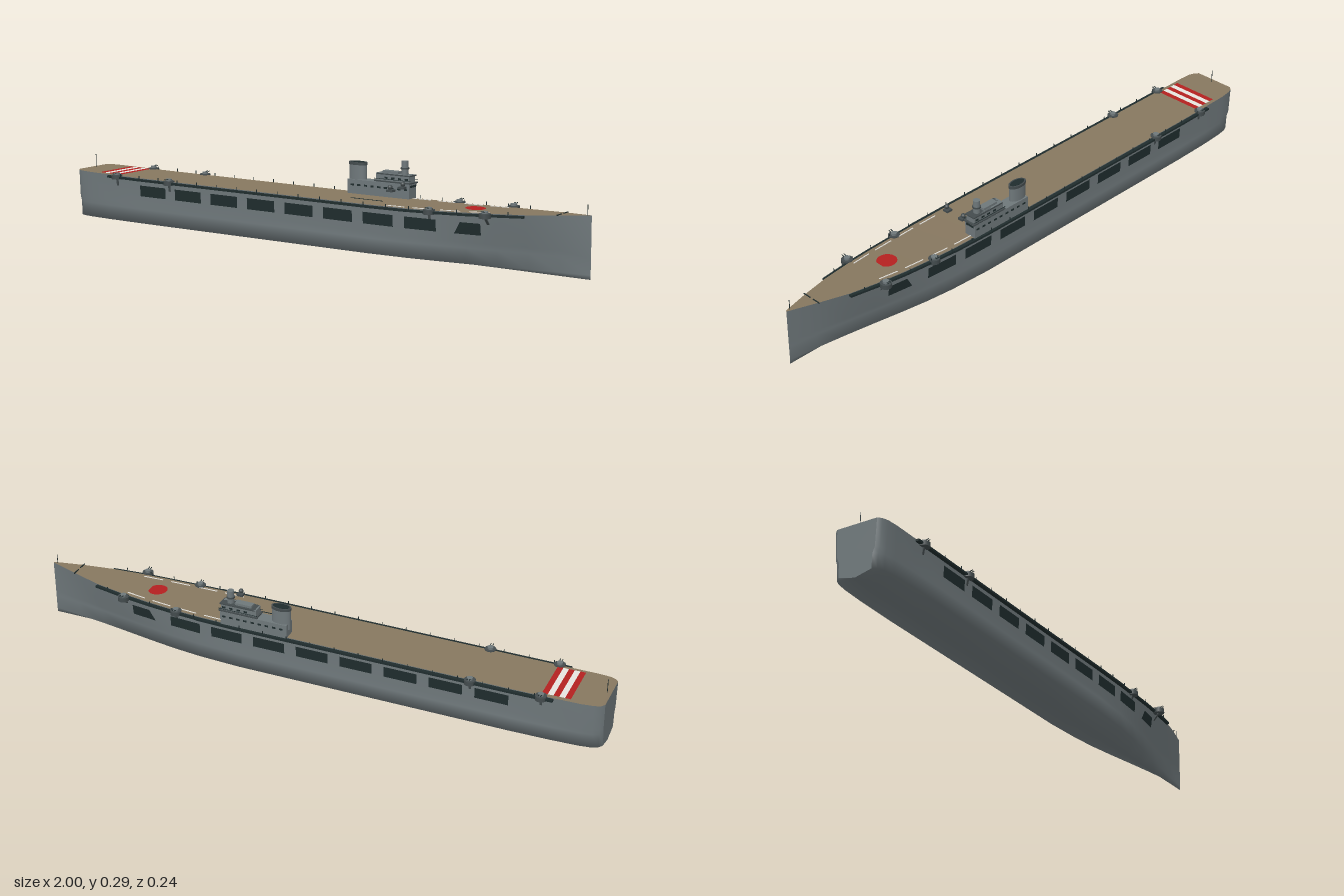
import * as THREE from 'three';

const mat = (name, color, side = THREE.FrontSide) => {
  const m = new THREE.MeshStandardMaterial({ color, side });
  m.name = name;
  return m;
};

// hull stations: x, bilge half-width, side half-width, deck half-width, deck height
const STATIONS = [
  [-1, 0.06, 0.068, 0.072, 0.179], [-0.99, 0.074, 0.08, 0.084, 0.178], [-0.97, 0.084, 0.088, 0.091, 0.178],
  [-0.93, 0.09, 0.092, 0.095, 0.177], [-0.84, 0.095, 0.093, 0.096, 0.176], [-0.7, 0.098, 0.093, 0.097, 0.175],
  [-0.3, 0.098, 0.093, 0.097, 0.175], [0.25, 0.098, 0.093, 0.097, 0.175], [0.4, 0.09, 0.09, 0.094, 0.176],
  [0.5, 0.079, 0.082, 0.089, 0.178], [0.6, 0.063, 0.07, 0.082, 0.181], [0.7, 0.045, 0.054, 0.071, 0.185],
  [0.8, 0.028, 0.036, 0.056, 0.189], [0.9, 0.013, 0.018, 0.031, 0.195], [1, 0.001, 0.001, 0.002, 0.2],
];

// interpolated station value
function at(x, k) {
  let i = 0;
  while (i < STATIONS.length - 2 && STATIONS[i + 1][0] < x) i++;
  const a = STATIONS[i], b = STATIONS[i + 1];
  return a[k] + (b[k] - a[k]) * (x - a[0]) / (b[0] - a[0]);
}
const sideZ = (x, y) => THREE.MathUtils.lerp(at(x, 2), at(x, 3), (y - 0.085) / (at(x, 4) - 0.085));

function geometryFrom(points, index) {
  const g = new THREE.BufferGeometry();
  g.setAttribute('position', new THREE.Float32BufferAttribute(points.flat(), 3));
  g.setIndex(index);
  g.computeVertexNormals();
  return g;
}

// half section from deck edge down to the keel, mirrored to the other side
function section([x, bilge, side, deck, top]) {
  const half = [[top, deck], [0.085, side], [0.066, bilge], [0.016, bilge * 0.98]];
  return [...half.map(([y, z]) => [x, y, z]), [x, 0.002, 0],
    ...half.reverse().map(([y, z]) => [x, y, -z])];
}

function hullGeometry() {
  const rings = STATIONS.map(section), n = rings[0].length, index = [];
  for (let i = 0; i < rings.length - 1; i++) {
    for (let j = 0; j < n - 1; j++) {
      const a = i * n + j, b = a + n;
      index.push(a, a + 1, b + 1, a, b + 1, b);
    }
  }
  return geometryFrom(rings.flat(), index);
}

function transomGeometry() {
  const ring = section(STATIONS[0]), n = ring.length, index = [];
  for (let j = 0; j < n; j++) index.push(n, (j + 1) % n, j);
  return geometryFrom([...ring, [-1, 0.1, 0]], index);
}

// surface that follows the deck between x0 and x1
function deckStrip(x0, x1, halfWidth, lift) {
  const xs = [x0, ...STATIONS.map(s => s[0]).filter(x => x > x0 && x < x1), x1];
  const points = [], index = [];
  xs.forEach((x, i) => {
    const z = halfWidth(x), y = at(x, 4) + lift;
    points.push([x, y, z], [x, y, -z]);
    if (i) index.push(2 * i - 2, 2 * i, 2 * i - 1, 2 * i, 2 * i + 1, 2 * i - 1);
  });
  return geometryFrom(points, index);
}

export function createModel() {
  const ship = new THREE.Group();
  ship.name = 'carrierShip';
  const hull = mat('hull grey', 0x6e777a);
  const planks = mat('deck tan', 0x86775f);
  const dark = mat('dark teal', 0x1f2c2d, THREE.DoubleSide);
  const steel = mat('dark steel', 0x434b4d);
  const red = mat('marking red', 0xb3201f);
  const white = mat('marking white', 0xe6e4de);

  const add = (name, geo, m, x = 0, y = 0, z = 0) => {
    const mesh = new THREE.Mesh(geo, m);
    mesh.name = name;
    mesh.position.set(x, y, z);
    ship.add(mesh);
    return mesh;
  };
  const box = (name, m, x0, x1, y0, y1, z0, z1) =>
    add(name, new THREE.BoxGeometry(x1 - x0, y1 - y0, z1 - z0), m, (x0 + x1) / 2, (y0 + y1) / 2, (z0 + z1) / 2);
  const cyl = (name, m, x, y0, y1, z, r, sides = 12) =>
    add(name, new THREE.CylinderGeometry(r, r, y1 - y0, sides), m, x, (y0 + y1) / 2, z);
  const beam = (name, m, a, b, w, h) => {
    const p = new THREE.Vector3(...a), q = new THREE.Vector3(...b);
    const mesh = add(name, new THREE.BoxGeometry(w, h, p.distanceTo(q)), m);
    mesh.position.copy(p).lerp(q, 0.5);
    mesh.lookAt(q);
  };

  // hull and flight deck
  add('hull', hullGeometry(), hull);
  add('transom', transomGeometry(), hull);
  add('flightDeck', deckStrip(-1, 1, x => at(x, 3), 0), planks);

  // deck markings
  for (let i = 0; i < 5; i++) {
    const x = -0.892 + i * 0.0188;
    add('sternStripe', deckStrip(x, x + 0.0188, () => 0.083, 0.0015), i % 2 ? white : red);
  }
  const disc = add('bowDisc', new THREE.CircleGeometry(0.033, 32), red, 0.595, 0.183, 0);
  disc.rotation.set(-Math.PI / 2, 0.035, 0);
  box('centreLine', dark, 0.135, 0.26, 0.175, 0.1765, 0.019, 0.022);

  for (const s of [1, -1]) {
    // hangar openings
    for (let i = 0; i < 9; i++) {
      const x = i < 8 ? -0.695 + i * 0.155 : 0.565, w = i < 8 ? 0.113 : 0.09, cut = i < 8 ? 0 : 0.022;
      const pts = [[x, 0.112], [x + w, 0.112], [x + w, 0.15], [x + cut, 0.15]]
        .map(([px, py]) => [px, py, s * (sideZ(px, py) + 0.004)]);
      add('hangarOpening', geometryFrom(pts, s > 0 ? [0, 1, 2, 0, 2, 3] : [0, 2, 1, 0, 3, 2]), dark);
    }
    // catwalk along the deck edge
    const xs = [-0.84, -0.7, -0.3, 0.25, 0.4, 0.5, 0.6, 0.7, 0.8];
    for (let i = 0; i < xs.length - 1; i++) {
      const [a, b] = [xs[i], xs[i + 1]].map(x => [x, at(x, 4) - 0.006, s * (at(x, 3) + 0.005)]);
      beam('catwalk', dark, a, b, i < 4 ? 0.015 : 0.011, 0.007);
    }
    // edge line on the forward deck
    for (let i = 0; i < 4; i++) {
      const x = 0.31 + i * 0.1;
      const [a, b] = [x, x + 0.07].map(v => [v, at(v, 4) + 0.001, s * (at(v, 3) - 0.014)]);
      beam('edgeDash', white, a, b, 0.003, 0.002);
    }
    // slender posts along the edge
    for (let i = 0; i < 19; i++) {
      const x = -0.78 + i * 0.085, y = at(x, 4);
      box('edgePost', dark, x - 0.001, x + 0.001, y - 0.008, y + 0.009,
        s * (at(x, 3) + 0.008) - 0.001, s * (at(x, 3) + 0.008) + 0.001);
    }
    // gun platforms
    for (const x of [-0.8, -0.565, 0.48, 0.68]) {
      const y = at(x, 4), z = s * Math.max(at(x, 3) + 0.003, 0.09);
      cyl('gunPlatform', steel, x, y - 0.012, y + 0.003, z, 0.019, 16);
      cyl('gunMount', hull, x, y + 0.003, y + 0.01, z, 0.01);
      for (const d of [-0.004, 0.004]) {
        beam('gunBarrel', dark, [x + d, y + 0.007, z], [x + d, y + 0.011, z + s * 0.019], 0.002, 0.002);
      }
      beam('platformBrace', steel, [x, y - 0.01, z], [x, y - 0.035, s * sideZ(x, y - 0.035)], 0.008, 0.003);
    }
    // range finders beside the island
    box('finderBase', steel, 0.288, 0.31, 0.212, 0.219, s * 0.034 - 0.01, s * 0.034 + 0.01);
    add('finderHead', new THREE.SphereGeometry(0.008, 16, 10), steel, 0.299, 0.227, s * 0.038);
    // bow anchors
    beam('anchorChain', dark, [0.9, 0.196, s * 0.006], [0.9, 0.196, s * 0.036], 0.003, 0.003);
  }

  // island
  const zc = -0.08;
  box('islandBase', hull, 0.07, 0.31, 0.174, 0.222, zc - 0.022, zc + 0.022);
  box('islandBridge', hull, 0.18, 0.308, 0.222, 0.252, zc - 0.018, zc + 0.018);
  box('bridgeWing', steel, 0.175, 0.315, 0.224, 0.228, zc - 0.024, zc + 0.024);
  box('bridgeRoof', steel, 0.185, 0.312, 0.248, 0.252, zc - 0.02, zc + 0.02);
  box('bridgeHouse', hull, 0.2, 0.26, 0.252, 0.26, zc - 0.012, zc + 0.012);
  cyl('directorTower', hull, 0.28, 0.252, 0.297, zc, 0.0115, 20);
  cyl('directorCollar', steel, 0.28, 0.27, 0.275, zc, 0.014, 20);
  for (let i = 0; i < 5; i++) {
    const z = zc - 0.014 + i * 0.007;
    box('frontWindow', dark, 0.309, 0.312, 0.212, 0.219, z - 0.0025, z + 0.0025);
  }
  for (const s of [1, -1]) {
    for (const [y, n] of [[0.205, 9], [0.238, 4]]) {
      for (let i = 0; i < n; i++) {
        const x = 0.297 - i * 0.026, z = zc + s * (n > 4 ? 0.0225 : 0.0185);
        box('sideWindow', dark, x - 0.006, x + 0.006, y - 0.003, y + 0.003, z - 0.001, z + 0.001);
      }
    }
    beam('bridgeRail', dark, [0.175, 0.234, zc + s * 0.023], [0.315, 0.234, zc + s * 0.023], 0.0015, 0.0015);
  }

  // oval funnel with a dark mouth
  const funnel = cyl('funnel', hull, 0.097, 0.2, 0.277, zc, 1, 24);
  funnel.scale.set(0.033, 1, 0.018);
  const rim = cyl('funnelRim', steel, 0.097, 0.27, 0.279, zc, 1, 24);
  rim.scale.set(0.035, 1, 0.0195);
  const mouth = cyl('funnelMouth', dark, 0.097, 0.277, 0.28, zc, 1, 24);
  mouth.scale.set(0.029, 1, 0.014);

  // flagstaffs
  cyl('bowStaff', dark, 0.985, 0.195, 0.233, 0, 0.0012, 6);
  cyl('sternStaff', dark, -0.985, 0.176, 0.225, 0, 0.0012, 6);
  return ship;
}
